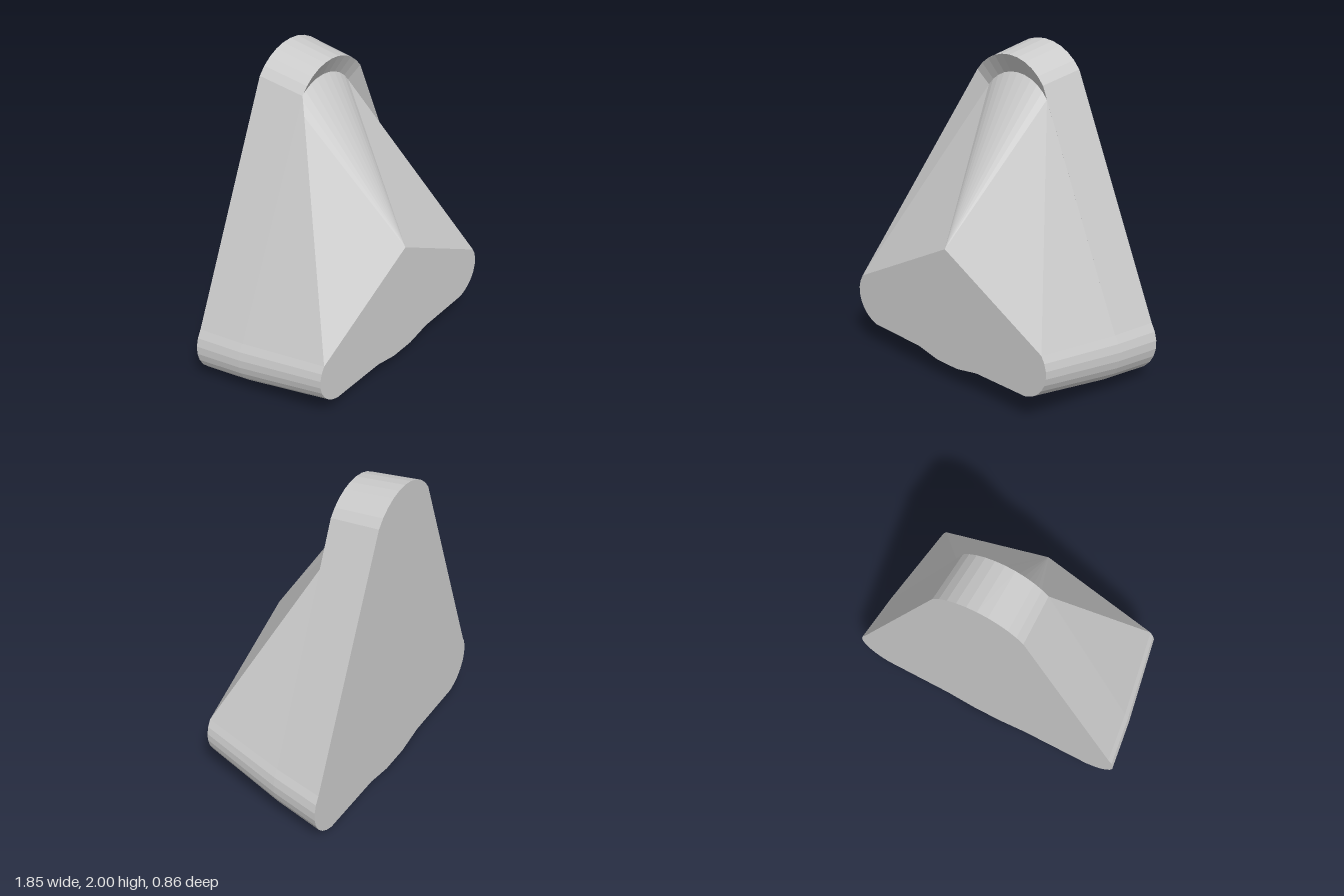
import * as THREE from 'three';

// Rounded triangular outline, counter-clockwise seen from the front.
// Each point is [x, y, isUpper]; isUpper marks the top arc.
function outline() {
  const half = [[0.1, 0, false], [0.29, 0.04, false]];
  const arc = (cx, cy, r, a0, a1, n, upper) => {
    for (let i = 0; i <= n; i++) {
      const a = THREE.MathUtils.degToRad(a0 + (a1 - a0) * i / n);
      half.push([cx + r * Math.cos(a), cy + r * Math.sin(a), upper]);
    }
  };
  arc(0.69, 0.275, 0.235, -76, 35, 8, false); // lower lobe
  arc(0, 1.67, 0.33, 35, 90, 5, true);        // half of the top arc
  const mirrored = half.slice(0, -1).reverse().map(([x, y, u]) => [-x, y, u]);
  return [...half, ...mirrored];
}

export function createModel() {
  const group = new THREE.Group();
  const pts = outline();
  const n = pts.length;

  // Back, rim and front sections; the front one drops back along the top arc
  const back = pts.map(([x, y]) => [x, y, -0.43]);
  const rim = pts.map(([x, y]) => [x * 0.958, 0.04 + y * 0.96, -0.12]);
  const front = pts.map(([x, y, upper]) => [x * 0.854, 0.14 + y * 0.85, upper ? -0.19 : 0.43]);

  const material = new THREE.MeshStandardMaterial({ color: 0xcccccc, flatShading: true });
  const addMesh = (name, build) => {
    const positions = [];
    build((...corners) => corners.forEach(c => positions.push(...c)));
    const geometry = new THREE.BufferGeometry();
    geometry.setAttribute('position', new THREE.Float32BufferAttribute(positions, 3));
    geometry.computeVertexNormals();
    const mesh = new THREE.Mesh(geometry, material);
    mesh.name = name;
    group.add(mesh);
  };

  // Wall between two sections
  const wall = (a, b) => tri => {
    for (let i = 0; i < n; i++) {
      const j = (i + 1) % n;
      tri(a[i], a[j], b[j]);
      tri(a[i], b[j], b[i]);
    }
  };
  // Fan of faces around a centre point
  const fan = (loop, centre, flip) => tri => {
    for (let i = 0; i < n; i++) {
      const p = loop[i], q = loop[(i + 1) % n];
      if (flip) tri(centre, q, p); else tri(centre, p, q);
    }
  };

  addMesh('backPlate', fan(back, [0, 0.9, -0.43], true));
  addMesh('baseWall', wall(back, rim));
  addMesh('wedgeWall', wall(rim, front));
  addMesh('slopedFront', fan(front, [0, 0.905, 0.43], false));
  return group;
}
